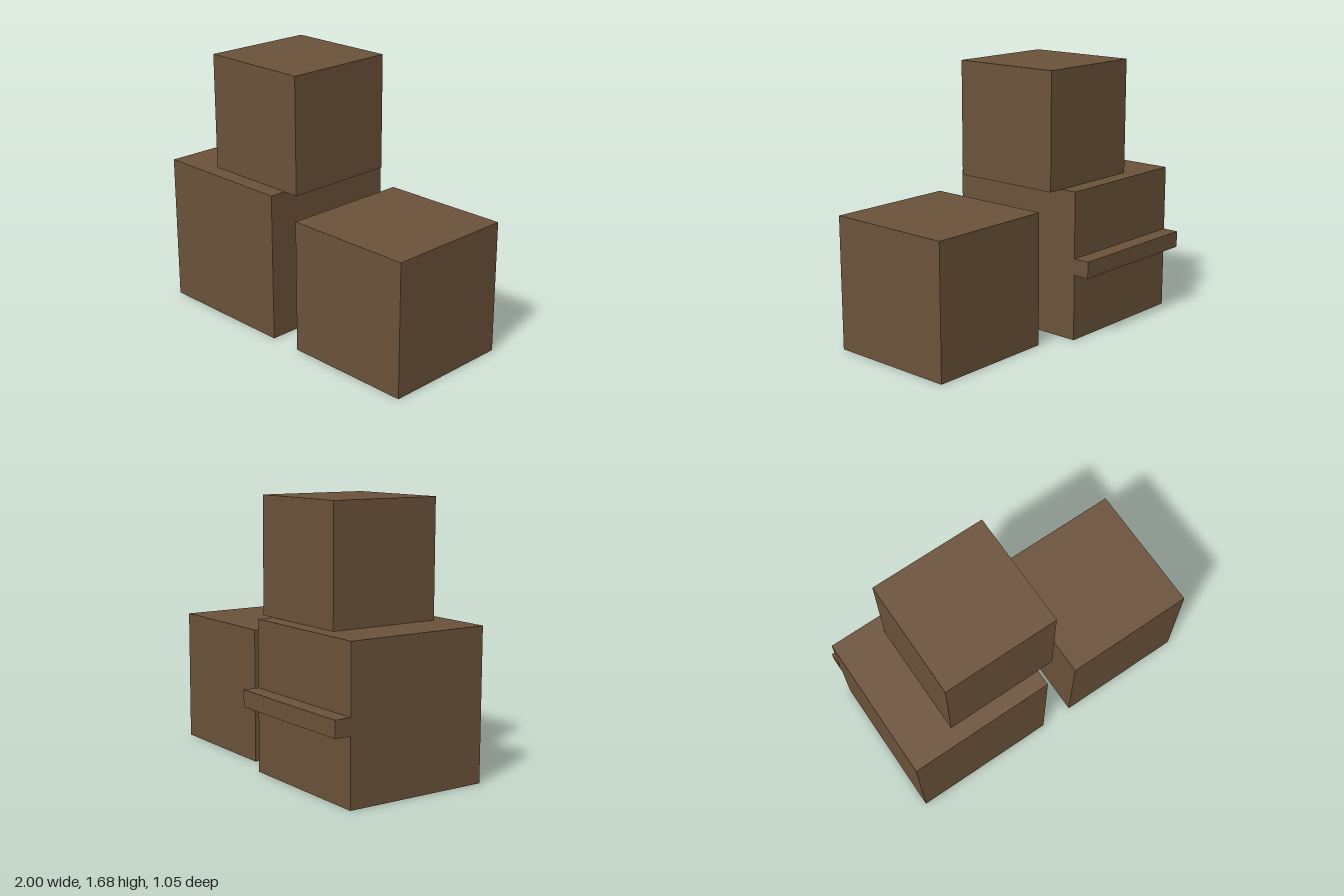
import * as THREE from 'three';

const U = 2 / 19; // one grid step: every part snaps to it

const cardboard = new THREE.MeshStandardMaterial({ color: 0x6b523a, side: THREE.DoubleSide });
cardboard.name = 'cardboardBrown';

// Box given by its minimum corner and size in grid steps, optionally without its floor
function crate(name, [x, y, z], [w, h, d], openBottom = false) {
  const geometry = new THREE.BoxGeometry(w * U, h * U, d * U);
  if (openBottom) {
    const faces = Array.from(geometry.index.array);
    faces.splice(18, 6); // the two triangles facing down
    geometry.setIndex(faces);
    geometry.clearGroups();
  }
  const mesh = new THREE.Mesh(geometry, cardboard);
  mesh.name = name;
  mesh.position.set((x + w / 2) * U, (y + h / 2) * U, (z + d / 2) * U);
  return mesh;
}

export function createModel() {
  const group = new THREE.Group();
  group.name = 'boxStack';
  group.add(
    // Two hollow boxes on the ground
    crate('largeBox', [-9.5, 0, -4], [9, 9, 9], true),
    crate('mediumBox', [1.5, 0, -3], [8, 8, 8], true),
    // Closed box on top, overhanging the large one
    crate('topBox', [-6.5, 9, -3], [7, 7, 7]),
    // Rail across the back of the large box
    crate('backRail', [-9.5, 4, -5], [9, 1, 1]),
  );
  return group;
}
